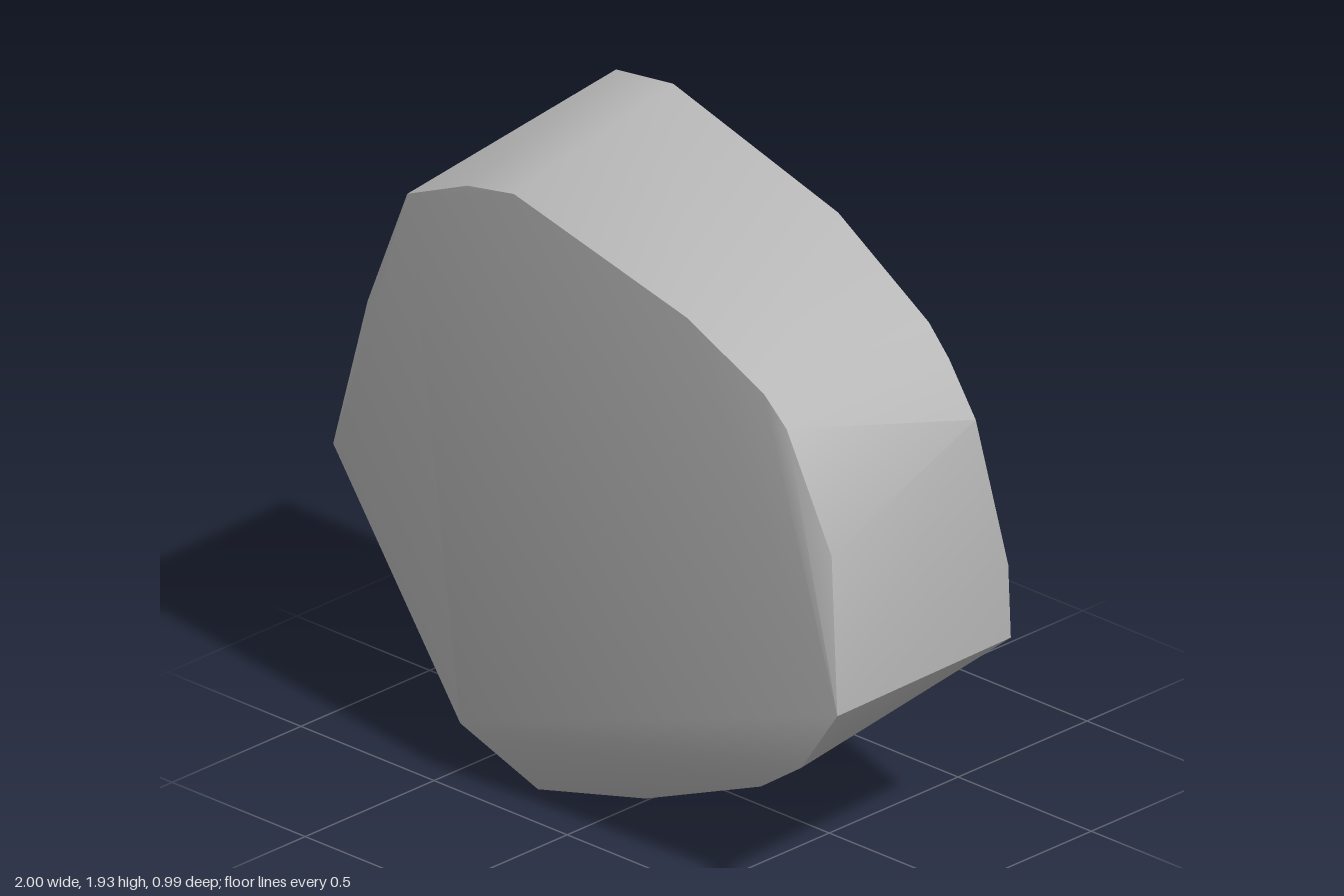
import * as THREE from 'three';
import { ConvexGeometry } from 'three/addons/geometries/ConvexGeometry.js';
import { toCreasedNormals } from 'three/addons/utils/BufferGeometryUtils.js';

// Rim of the broad front face, clockwise from the left corner
const frontRim = [
  [-1, 0.8, 0.375], [-0.88, 1.26, 0.365], [-0.62, 1.7, 0.48], [-0.39, 1.8, 0.485],
  [-0.21, 1.835, 0.49], [0.43, 1.67, 0.48], [0.71, 1.53, 0.47], [0.79, 1.45, 0.465],
  [0.935, 1.11, 0.44], [1, 0.67, 0.485], [0.83, 0.45, 0.45], [0.64, 0.32, 0.41],
  [0.11, 0.08, 0.31], [-0.26, 0, 0.345], [-0.45, 0.17, 0.45],
];

// Rim of the sloping back face, in the same order
const backRim = [
  [-0.88, 0.71, -0.365], [-0.97, 1.1, -0.255], [-0.88, 1.26, -0.25], [-0.78, 1.47, -0.22],
  [-0.47, 1.9, -0.175], [-0.25, 1.93, -0.17], [0.15, 1.82, -0.16], [0.36, 1.74, -0.18],
  [0.71, 1.53, -0.17], [0.79, 1.45, -0.165], [0.905, 1.31, -0.15], [0.94, 0.86, -0.24],
  [0.94, 0.64, -0.25], [0.54, 0.46, -0.37], [0.14, 0.24, -0.475], [-0.32, 0.12, -0.495],
];

export function createModel() {
  const stone = new THREE.MeshStandardMaterial({ color: 0xb4b4b4 });
  stone.name = 'grey stone';

  // Chipped slab wrapped around both rims, soft facets with crisp edges
  const points = [...frontRim, ...backRim].map((p) => new THREE.Vector3(...p));
  const slab = new THREE.Mesh(toCreasedNormals(new ConvexGeometry(points), 0.5), stone);
  slab.name = 'rockSlab';

  const model = new THREE.Group();
  model.name = 'rock';
  model.add(slab);
  return model;
}
